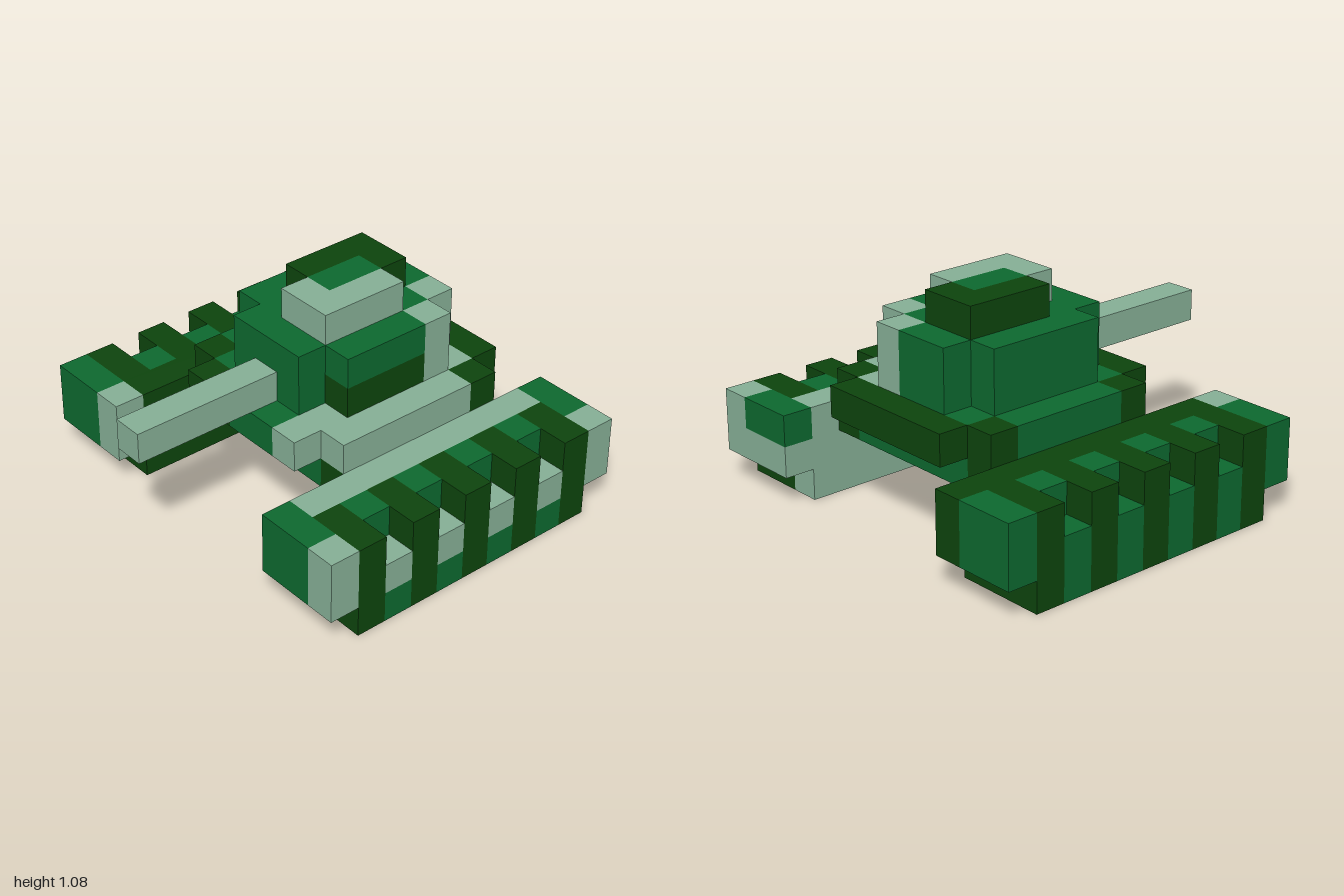
import * as THREE from 'three';

const U = 2 / 13; // size of one block

function paint(name, color) {
  const m = new THREE.MeshStandardMaterial({ color });
  m.name = name;
  return m;
}

export function createModel() {
  const dark = paint('dark green', 0x0d440d);
  const green = paint('mid green', 0x0d682f);
  const light = paint('pale green', 0x85ae95);
  const model = new THREE.Group();
  model.name = 'tank';

  const part = (name) => {
    const g = new THREE.Group();
    g.name = name;
    model.add(g);
    return g;
  };
  // Box given by its block ranges [from, to) along x, y and z
  const box = (group, name, mat, [x0, x1], [y0, y1], [z0, z1]) => {
    const geo = new THREE.BoxGeometry((x1 - x0) * U, (y1 - y0) * U, (z1 - z0) * U);
    geo.translate((x0 + x1) / 2 * U - 1, (y0 + y1) / 2 * U, (z0 + z1) / 2 * U - 1);
    const mesh = new THREE.Mesh(geo, mat);
    mesh.name = name;
    group.add(mesh);
  };

  // Right track
  const right = part('rightTrack');
  box(right, 'innerWall', dark, [2, 3], [0, 3], [1, 10]);
  box(right, 'rearEnd', green, [0, 2], [1, 3], [0, 1]);
  box(right, 'rearEndInner', dark, [2, 3], [1, 3], [0, 1]);
  box(right, 'frontEnd', green, [0, 2], [1, 3], [10, 11]);
  box(right, 'frontEndInner', light, [2, 3], [1, 3], [10, 11]);

  // Left track
  const left = part('leftTrack');
  box(left, 'innerWall', light, [10, 11], [0, 3], [1, 10]);
  box(left, 'rearEndTop', green, [10, 12], [2, 3], [0, 1]);
  box(left, 'rearEndBase', light, [10, 12], [1, 2], [0, 1]);
  box(left, 'rearEndOuter', light, [12, 13], [1, 3], [0, 1]);
  box(left, 'frontEnd', green, [10, 12], [1, 3], [10, 11]);
  box(left, 'frontEndOuter', light, [12, 13], [1, 3], [10, 11]);

  // Ribs alternate with notched links along both tracks
  for (let k = 1; k < 10; k++) {
    const z = [k, k + 1];
    if (k % 2) {
      box(right, 'rib', dark, [0, 2], [0, 3], z);
      box(left, 'rib', dark, [11, 13], [0, 3], z);
    } else {
      box(right, 'link', green, [0, 2], [0, 2], z);
      box(right, 'linkTop', green, [1, 2], [2, 3], z);
      box(left, 'linkBase', green, [11, 13], [0, 1], z);
      box(left, 'link', light, [11, 13], [1, 2], z);
      box(left, 'linkTop', green, [11, 12], [2, 3], z);
    }
  }

  // Cross beams joining the tracks under the hull
  const beams = part('crossBeams');
  for (const z of [[2, 3], [4, 6], [7, 8]]) {
    box(beams, 'beam', green, [4, 9], [2, 3], z);
    if (z[0] === 4) continue;
    box(beams, 'beamEnd', dark, [3, 4], [2, 3], z);
    box(beams, 'beamEnd', dark, [9, 10], [2, 3], z);
  }

  // Hull deck
  const hull = part('hull');
  const deck = [3, 4];
  box(hull, 'rearBar', dark, [4, 9], deck, [1, 2]);
  box(hull, 'rearCornerRight', dark, [3, 4], deck, [2, 3]);
  box(hull, 'rearCornerLeft', dark, [9, 10], deck, [2, 3]);
  box(hull, 'rightSide', green, [3, 4], deck, [3, 7]);
  box(hull, 'frontCornerRight', dark, [3, 4], deck, [7, 8]);
  box(hull, 'middle', green, [4, 8], deck, [2, 8]);
  box(hull, 'leftDeck', light, [8, 9], deck, [2, 9]);
  box(hull, 'leftSide', light, [9, 10], deck, [3, 8]);
  box(hull, 'noseRight', dark, [4, 6], deck, [8, 9]);
  box(hull, 'noseMiddle', green, [6, 8], deck, [8, 9]);

  // Turret with stepped corners
  const turret = part('turret');
  box(turret, 'core', green, [4, 8], [4, 6], [3, 7]);
  box(turret, 'front', green, [5, 8], [4, 6], [7, 8]);
  box(turret, 'rear', green, [5, 7], [4, 6], [2, 3]);
  box(turret, 'rearLeft', light, [7, 8], [4, 6], [2, 3]);
  box(turret, 'sideRear', light, [8, 9], [4, 6], [3, 4]);
  box(turret, 'sideLower', dark, [8, 9], [4, 5], [4, 7]);
  box(turret, 'sideUpper', green, [8, 9], [5, 6], [4, 7]);

  // Hatch on the roof
  const hatch = part('hatch');
  const roof = [6, 7];
  box(hatch, 'hatchRight', dark, [5, 6], roof, [3, 6]);
  box(hatch, 'hatchRear', dark, [6, 7], roof, [3, 4]);
  box(hatch, 'hatchCentre', green, [6, 7], roof, [4, 6]);
  box(hatch, 'hatchFront', light, [6, 7], roof, [6, 7]);
  box(hatch, 'hatchLeft', light, [7, 8], roof, [4, 7]);

  // Gun barrel
  box(model, 'barrel', light, [6, 7], [4, 5], [8, 13]);

  return model;
}
